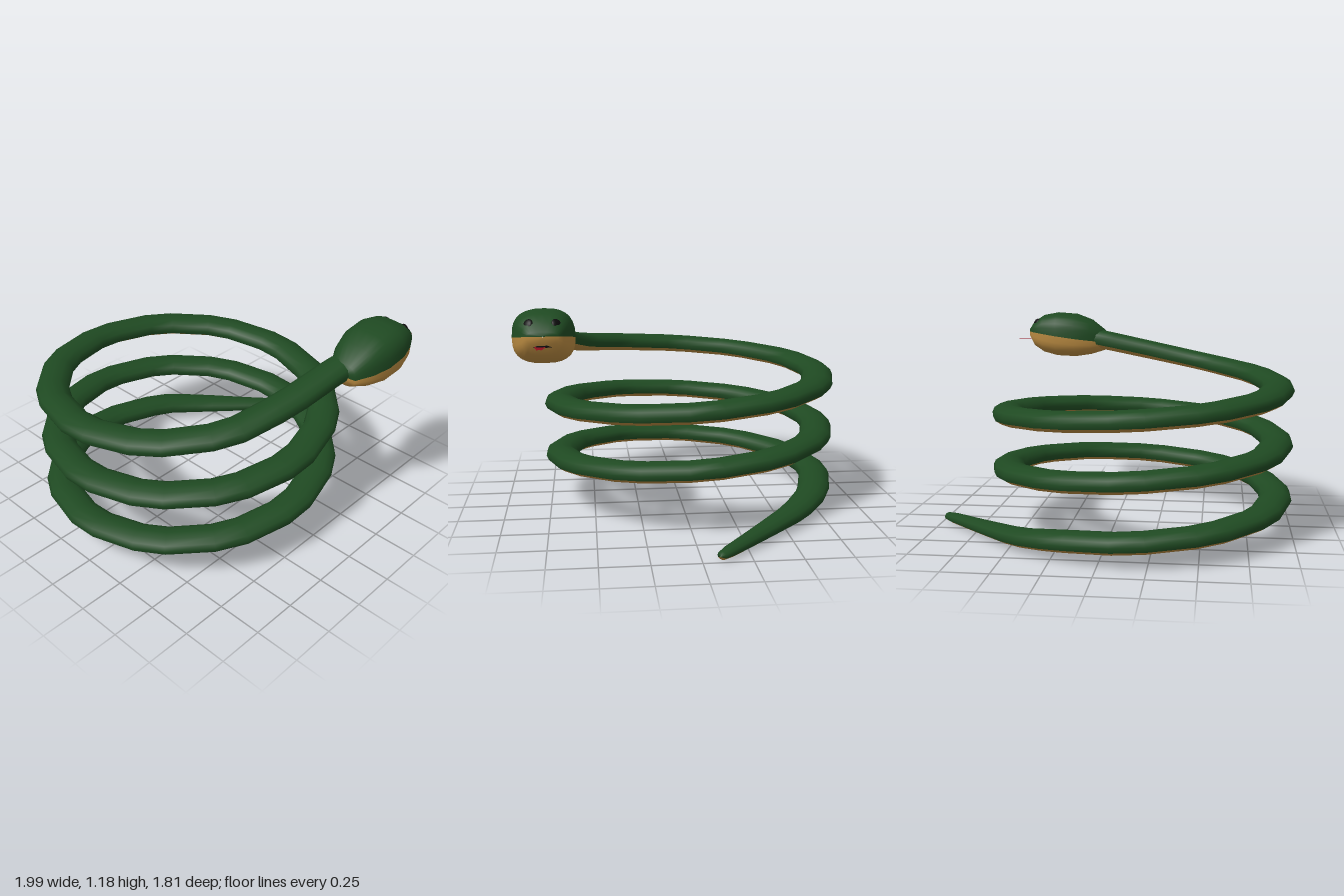
import * as THREE from 'three';

const GREEN = new THREE.MeshStandardMaterial({ color: 0x1f4a22 });
const TAN = new THREE.MeshStandardMaterial({ color: 0xbd8d42 });
const DARK = new THREE.MeshStandardMaterial({ color: 0x0c0c0c });
const RED = new THREE.MeshStandardMaterial({ color: 0x8c0f1c, side: THREE.DoubleSide });

function addMesh(group, name, geometry, material) {
  const mesh = new THREE.Mesh(geometry, material);
  mesh.name = name;
  group.add(mesh);
  return mesh;
}

// Skin over rings with equal point counts
function loft(rings) {
  const n = rings[0].length, index = [];
  for (let i = 0; i < rings.length - 1; i++) {
    for (let j = 0; j < n - 1; j++) {
      const a = i * n + j, c = a + n;
      index.push(a, a + 1, c, a + 1, c + 1, c);
    }
  }
  const geometry = new THREE.BufferGeometry().setFromPoints(rings.flat());
  geometry.setIndex(index);
  geometry.computeVertexNormals();
  return geometry;
}

// Evenly spaced angles in radians, given degrees
const arc = (from, to, steps) =>
  Array.from({ length: steps + 1 }, (_, i) => THREE.MathUtils.degToRad(from + (to - from) * i / steps));

// Spine stations [x, y, z, halfWidth, halfHeight] from tail tip to neck
function spine() {
  const cx = -0.155, cz = -0.065, R = 0.77;
  const pts = [
    [0.99, 0.036, -0.085, 0.001, 0.001],
    [0.97, 0.037, -0.1, 0.034, 0.027],
    [0.72, 0.05, -0.33, 0.056, 0.037],
    [0.45, 0.07, -0.58, 0.08, 0.048],
  ];
  for (let a = 60; a <= 900; a += 30) {
    const t = THREE.MathUtils.degToRad(a);
    pts.push([cx + R * Math.cos(t), 0.13 + 0.305 * (a - 90) / 360, cz - R * Math.sin(t), 0.09, 0.055]);
  }
  pts.push(
    [-0.81, 0.845, 0.31, 0.09, 0.055],
    [-0.53, 0.885, 0.57, 0.09, 0.055],
    [-0.2, 0.945, 0.66, 0.088, 0.057],
    [0.16, 1.015, 0.705, 0.085, 0.06],
    [0.26, 1.03, 0.73, 0.08, 0.06],
  );
  return pts;
}

function buildBody(group) {
  // Each corner is bevelled into two stations
  const pts = spine(), mix = (a, b, t) => a.map((v, i) => v + (b[i] - v) * t);
  const stations = [pts[0]];
  for (let i = 1; i < pts.length - 1; i++) {
    stations.push(mix(pts[i], pts[i - 1], 0.2), mix(pts[i], pts[i + 1], 0.2));
  }
  stations.push(pts[pts.length - 1]);
  const at = stations.map(s => new THREE.Vector3(s[0], s[1], s[2]));
  const last = at.length - 1;

  const rings = angles => stations.map((s, i) => {
    const before = at[i].clone().sub(at[Math.max(i - 1, 0)]).normalize();
    const after = at[Math.min(i + 1, last)].clone().sub(at[i]).normalize();
    const tangent = before.add(after).normalize();
    const side = new THREE.Vector3(0, 1, 0).cross(tangent).normalize();
    const up = tangent.clone().cross(side);
    return angles.map(a => at[i].clone()
      .addScaledVector(side, s[3] * Math.cos(a))
      .addScaledVector(up, s[4] * Math.sin(a)));
  });
  addMesh(group, 'bodyBack', loft(rings(arc(-30, 210, 8))), GREEN);
  addMesh(group, 'bodyBelly', loft(rings(arc(210, 330, 4))), TAN);
}

function buildHead(group) {
  const cz = 0.747;
  // [x, top, lip line, bottom, halfWidth]
  const stations = [
    [0.14, 1.01, 1.0, 0.99, 0.001],
    [0.15, 1.07, 1.0, 0.948, 0.08],
    [0.24, 1.14, 1.012, 0.92, 0.13],
    [0.34, 1.178, 1.025, 0.905, 0.158],
    [0.46, 1.187, 1.042, 0.91, 0.16],
    [0.55, 1.17, 1.055, 0.933, 0.137],
    [0.61, 1.13, 1.063, 0.972, 0.105],
    [0.637, 1.09, 1.067, 1.025, 0.078],
    [0.642, 1.07, 1.068, 1.06, 0.001],
  ];
  // Rounded box-like cross-section
  const soft = v => Math.sign(v) * Math.abs(v) ** (2 / 2.7);
  const rings = (angles, edge) => stations.map(s => angles.map(a => new THREE.Vector3(
    s[0],
    s[2] + Math.abs(s[edge] - s[2]) * soft(Math.sin(a)),
    cz - s[4] * soft(Math.cos(a)))));
  addMesh(group, 'headTop', loft(rings(arc(0, 180, 14), 1)), GREEN);
  addMesh(group, 'headJaw', loft(rings(arc(180, 360, 14), 3)), TAN);

  // Eyes
  for (const side of [1, -1]) {
    const eye = addMesh(group, side > 0 ? 'eyeRight' : 'eyeLeft', new THREE.SphereGeometry(0.029, 16, 10), DARK);
    eye.position.set(0.592, 1.122, cz + side * 0.07);
    eye.scale.set(1, 1, 0.45);
    eye.lookAt(eye.position.clone().add(new THREE.Vector3(0.7, 0.5, side * 0.6)));
  }

  // Mouth slit
  const mouth = addMesh(group, 'mouth', new THREE.CylinderGeometry(1, 1, 0.01, 32), DARK);
  mouth.scale.set(0.105, 1, 0.115);
  mouth.position.set(0.533, 1.018, cz);

  // Flat tongue with a small notch at the tip
  const shape = new THREE.Shape([
    [0.57, -0.035], [0.64, -0.028], [0.745, -0.012], [0.73, 0], [0.745, 0.012], [0.64, 0.028], [0.57, 0.035],
  ].map(p => new THREE.Vector2(...p)));
  const tongue = addMesh(group, 'tongue', new THREE.ShapeGeometry(shape), RED);
  tongue.rotation.x = -Math.PI / 2;
  tongue.position.set(0, 1.016, cz + 0.012);
}

export function createModel() {
  const model = new THREE.Group();
  model.name = 'coiledSnake';
  const body = new THREE.Group(), head = new THREE.Group();
  body.name = 'body';
  head.name = 'head';
  buildBody(body);
  buildHead(head);
  model.add(body, head);
  return model;
}
